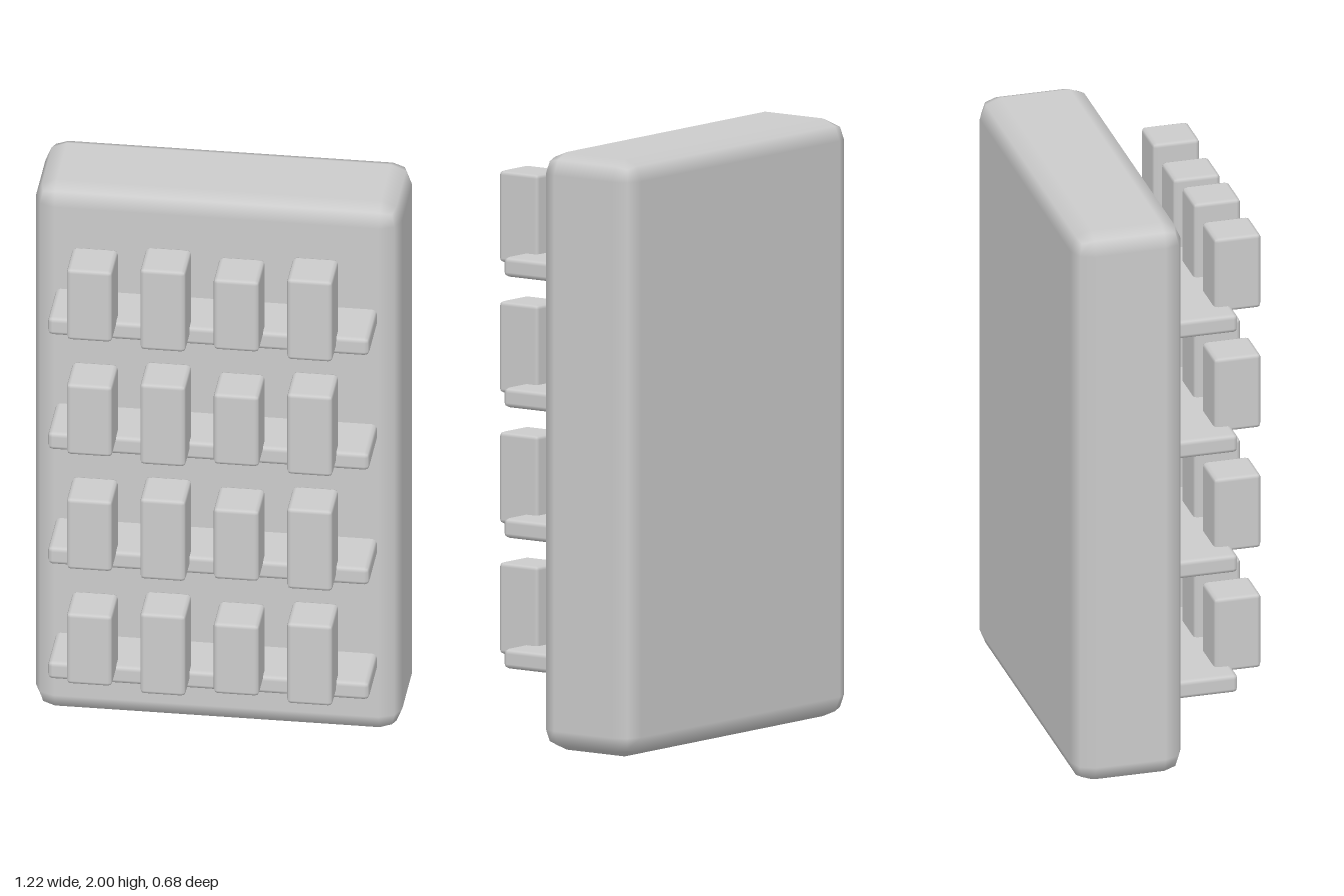
import * as THREE from 'three';
import { RoundedBoxGeometry } from 'three/addons/geometries/RoundedBoxGeometry.js';

export function createModel() {
  const group = new THREE.Group();
  const material = new THREE.MeshStandardMaterial({ color: 0xcccccc });

  // Rounded block given by its size, bevel radius and centre
  function addBlock(name, [w, h, d], radius, [x, y, z]) {
    const mesh = new THREE.Mesh(new RoundedBoxGeometry(w, h, d, 1, radius), material);
    mesh.name = name;
    mesh.position.set(x, y, z);
    group.add(mesh);
  }

  // Cabinet body
  addBlock('cabinet', [1.223, 2, 0.38], 0.07, [0, 1, -0.151]);

  // Four shelves, each with four boxes of alternating height
  for (let row = 0; row < 4; row++) {
    const y = 0.278 + row * 0.437;
    addBlock(`shelf${row + 1}`, [1.072, 0.066, 0.24], 0.016, [0, y, 0.12]);

    for (let col = 0; col < 4; col++) {
      const height = col % 2 ? 0.307 : 0.269;
      addBlock(`box${row + 1}_${col + 1}`, [0.152, height, 0.161], 0.014,
        [-0.384 + col * 0.245, y + 0.146, 0.26]);
    }
  }

  return group;
}
